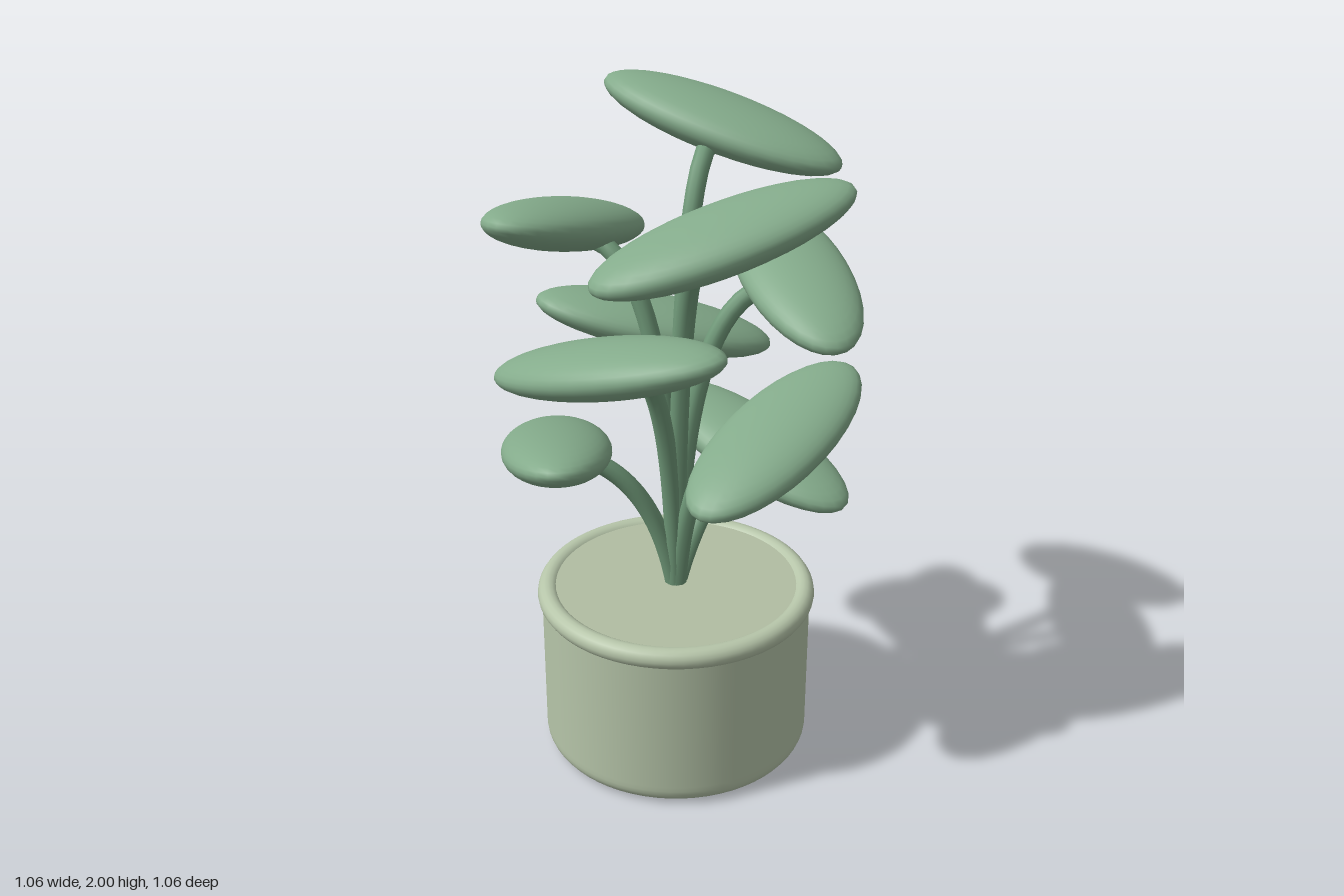
import * as THREE from 'three';

const mat = (name, color) => {
  const m = new THREE.MeshStandardMaterial({ color });
  m.name = name;
  return m;
};

export function createModel() {
  const group = new THREE.Group();
  const potColor = mat('pale sage pot', 0xb6c5a9);
  const soilColor = mat('sage soil', 0xb1bda2);
  const stemColor = mat('stem green', 0x6f9878);
  const leafColor = mat('leaf green', 0x84ab8b);

  const add = (name, geometry, material, parent = group) => {
    const mesh = new THREE.Mesh(geometry, material);
    mesh.name = name;
    parent.add(mesh);
    return mesh;
  };

  // Pot: straight wall with a rounded bottom edge
  const round = 0.05, potRadius = 0.41;
  const profile = [new THREE.Vector2(0, 0.005)];
  for (let i = 0; i <= 6; i++) {
    const a = (i / 6) * Math.PI / 2;
    profile.push(new THREE.Vector2(
      potRadius - round + round * Math.sin(a), 0.005 + round - round * Math.cos(a)));
  }
  profile.push(new THREE.Vector2(potRadius, 0.07), new THREE.Vector2(potRadius, 0.52));
  add('pot', new THREE.LatheGeometry(profile, 64), potColor);

  // Rolled rim
  const rim = add('rim', new THREE.TorusGeometry(0.391, 0.032, 16, 64), potColor);
  rim.rotation.x = Math.PI / 2;
  rim.position.y = 0.519;

  // Soil
  const soil = add('soil', new THREE.CylinderGeometry(0.37, 0.37, 0.04, 64), soilColor);
  soil.position.y = 0.521;

  // Leaves spiral upward by the golden angle, each on a bent stem
  const leafGeometry = new THREE.SphereGeometry(1, 32, 20);
  leafGeometry.scale(0.162, 0.075, 0.375);
  for (let i = 0; i < 9; i++) {
    const y = 0.88 + i * 0.125;
    const sprig = new THREE.Group();
    sprig.name = 'sprig' + (i + 1);
    sprig.rotation.y = THREE.MathUtils.degToRad(137.5 * i);
    group.add(sprig);

    // Lower stems lean out early, higher ones rise straight and bend late
    const lean = 0.7 ** i;
    const path = new THREE.QuadraticBezierCurve3(
      new THREE.Vector3(0.005, 0.53, 0),
      new THREE.Vector3(0.09 * lean, y - 0.06 - 0.08 * lean, 0),
      new THREE.Vector3(0.27, y - 0.03, 0));
    add('stem', new THREE.TubeGeometry(path, 24, 0.028, 10), stemColor, sprig);

    const leaf = add('leaf', leafGeometry, leafColor, sprig);
    leaf.position.set(0.35, y, 0);
    leaf.rotation.x = 0.26;
  }
  return group;
}
